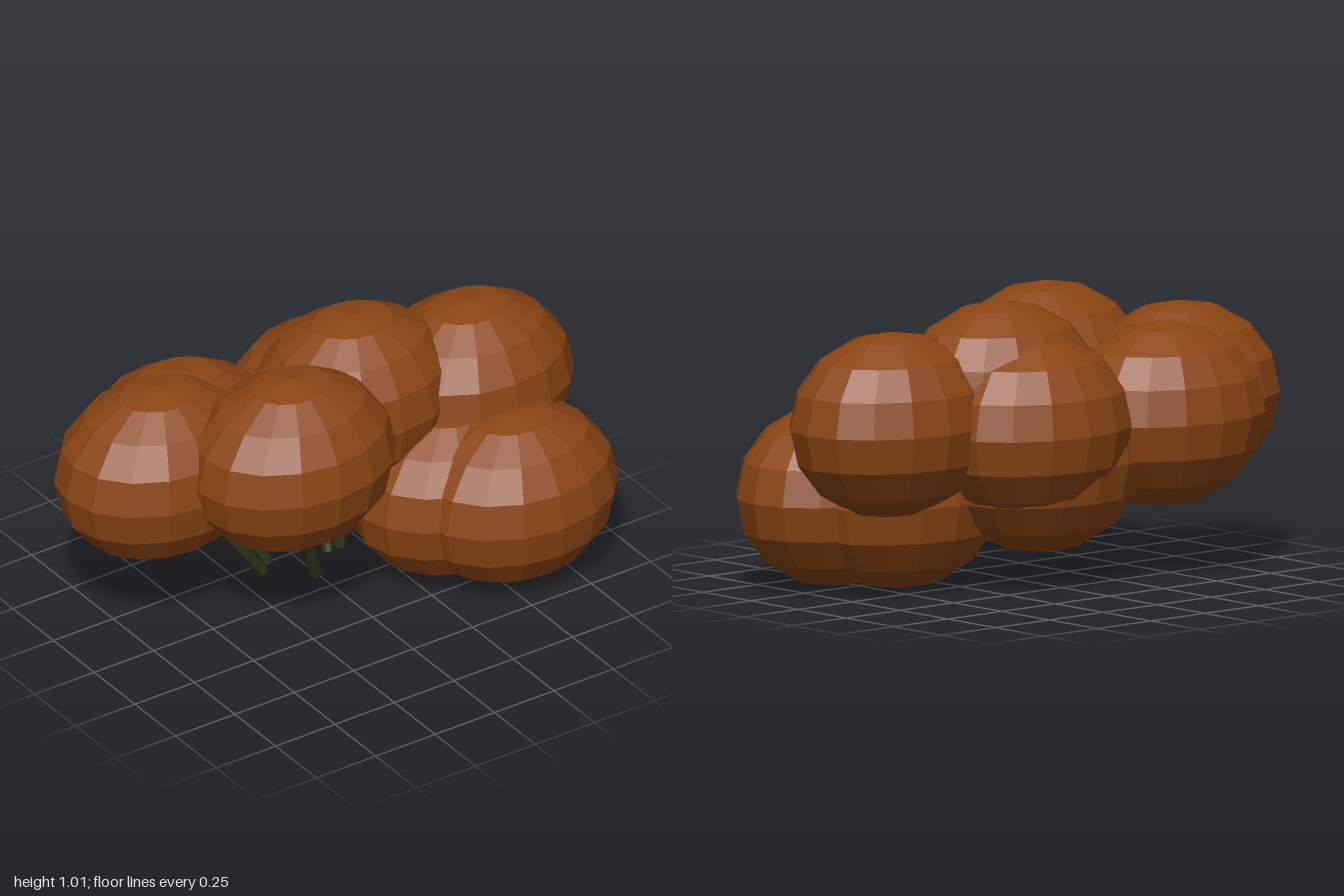
import * as THREE from 'three';

export function createModel() {
  const model = new THREE.Group();
  const foliageBrown = new THREE.MeshStandardMaterial({ color: 0x8b4513, flatShading: true });
  foliageBrown.name = 'foliageBrown';
  const darkStem = new THREE.MeshStandardMaterial({ color: 0x2a2e14, flatShading: true });
  darkStem.name = 'darkStem';

  // Overlapping flattened foliage lobes, given by their centres
  const lobes = {
    rightLobe: [-0.605, 0.615, -0.18],
    frontLobe: [-0.26, 0.685, 0.13],
    topLobe: [0.155, 0.685, -0.1],
    leftLobe: [0.605, 0.615, -0.04],
    lowerFrontLobe: [0.575, 0.335, 0.275],
    lowerLeftLobe: [0.43, 0.33, 0.11],
    backRightLobe: [-0.45, 0.575, -0.28],
    backLobe: [0.13, 0.58, -0.235],
    lowerBackLobe: [0.03, 0.45, -0.18],
  };
  const lobeGeometry = new THREE.SphereGeometry(1, 16, 8);
  lobeGeometry.scale(0.39, 0.327, 0.312);
  for (const [name, centre] of Object.entries(lobes)) {
    const lobe = new THREE.Mesh(lobeGeometry, foliageBrown);
    lobe.name = name;
    lobe.position.set(...centre);
    model.add(lobe);
  }

  // Thin stems, each rising from a cut end into a lobe
  const stems = [
    ['rightLobe', [-0.25, 0.12, -0.06]],
    ['backRightLobe', [-0.2, 0.12, -0.1]],
    ['frontLobe', [-0.11, 0.12, 0.06]],
    ['lowerBackLobe', [0.01, 0.12, -0.04]],
    ['topLobe', [0.06, 0.12, -0.04]],
  ];
  for (const [target, foot] of stems) {
    const start = new THREE.Vector3(...foot);
    const span = new THREE.Vector3(...lobes[target]).sub(start);
    const stem = new THREE.Mesh(new THREE.CylinderGeometry(0.022, 0.022, span.length(), 8), darkStem);
    stem.name = target + 'Stem';
    stem.position.copy(start).addScaledVector(span, 0.5);
    stem.quaternion.setFromUnitVectors(new THREE.Vector3(0, 1, 0), span.clone().normalize());
    model.add(stem);
  }
  return model;
}
